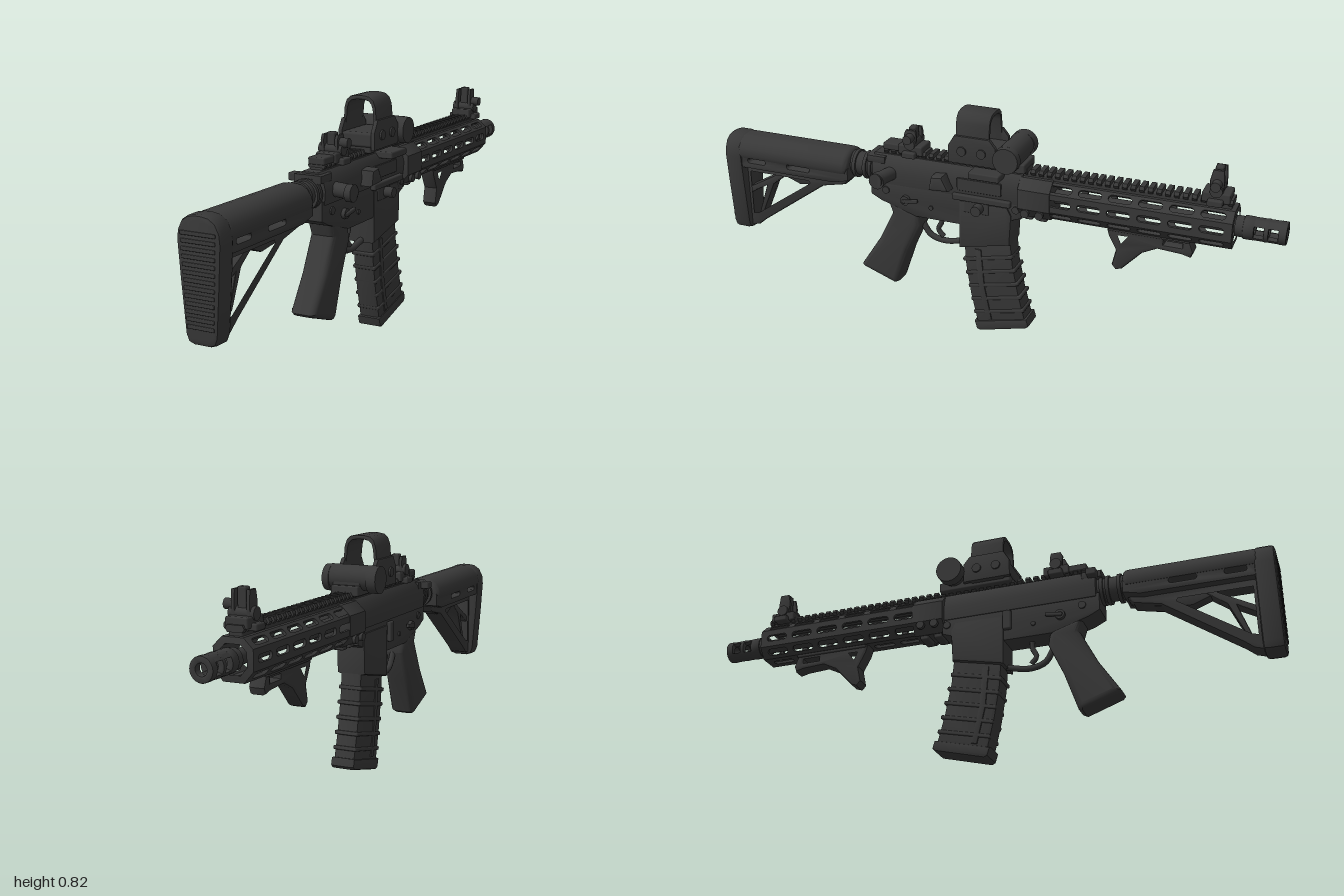
import * as THREE from 'three';
import { toCreasedNormals } from 'three/addons/utils/BufferGeometryUtils.js';
import { RoundedBoxGeometry } from 'three/addons/geometries/RoundedBoxGeometry.js';

const V2 = (p) => new THREE.Vector2(p[0], p[1]);
const V3 = (x, y, z) => new THREE.Vector3(x, y, z);

export function createModel() {
  const model = new THREE.Group();
  model.name = 'carbine';
  const body = new THREE.Group();
  body.name = 'body';
  body.position.x = -0.012;
  model.add(body);
  const black = new THREE.MeshStandardMaterial({ color: 0x383838 });
  black.name = 'matte black';

  function add(name, geo, x = 0, y = 0, z = 0) {
    const m = new THREE.Mesh(geo, black);
    m.name = name;
    m.position.set(x, y, z);
    body.add(m);
    return m;
  }
  // Centred, bevelled extrusion; holes are point lists or ready paths
  function extrude(pts, w, b, holes = []) {
    const shape = new THREE.Shape(pts.map(V2));
    holes.forEach((h) => shape.holes.push(Array.isArray(h) ? new THREE.Path(h.map(V2)) : h));
    const g = new THREE.ExtrudeGeometry(shape, {
      depth: w - 2 * b, bevelEnabled: b > 0, bevelThickness: b, bevelSize: b,
      bevelOffset: -b, bevelSegments: b > 0.015 ? 4 : 2, curveSegments: 8,
    });
    g.translate(0, 0, -(w - 2 * b) / 2);
    return toCreasedNormals(g, 0.65);
  }
  // Outline in (z, y), thickness along x
  const side = (name, pts, w, b = 0.006, holes = [], x = 0) =>
    add(name, extrude(pts, w, b, holes).rotateY(-Math.PI / 2), x);
  // Outline in (x, y), running from z0 to z1
  const front = (name, pts, z0, z1, b = 0.006, holes = []) =>
    add(name, extrude(pts, Math.abs(z1 - z0), b, holes), 0, 0, (z0 + z1) / 2);
  const mirror = (half) => [...half, ...half.slice().reverse().map(([x, y]) => [-x, y])];
  const box = (name, w, h, d, x, y, z, r = 0.005) =>
    add(name, new RoundedBoxGeometry(w, h, d, 1, Math.min(r, w / 3, h / 3, d / 3)), x, y, z);
  function cyl(name, r, len, axis, x, y, z, r2 = r, seg = 24) {
    const g = new THREE.CylinderGeometry(r, r2, len, seg);
    if (axis === 'z') g.rotateX(Math.PI / 2);
    if (axis === 'x') g.rotateZ(-Math.PI / 2);
    return add(name, g, x, y, z);
  }
  function slot(cx, cy, len, h) {
    const p = new THREE.Path(), r = h / 2, a = len / 2 - r;
    p.absarc(cx + a, cy, r, -Math.PI / 2, Math.PI / 2, false);
    p.absarc(cx - a, cy, r, Math.PI / 2, Math.PI * 1.5, false);
    p.closePath();
    return p;
  }

  // Stock: butt pad, rounded comb, slotted skirt and triangular brace
  front('buttPad', mirror([[0.025, 0.236], [0.045, 0.243], [0.054, 0.265], [0.066, 0.42], [0.073, 0.53],
    [0.07, 0.56], [0.056, 0.588], [0.035, 0.602], [0.012, 0.606]]), 0.928, 0.996, 0.012);
  for (let i = 0; i < 13; i++) box('buttRib', 0.09 + i * 0.0022, 0.012, 0.008, 0, 0.29 + i * 0.022, 0.996, 0.003);
  front('stockComb', mirror([[0.066, 0.53], [0.072, 0.545], [0.067, 0.568], [0.052, 0.59], [0.03, 0.602], [0.01, 0.605]]),
    0.5, 0.95, 0.02);
  side('stockSkirt', [[0.5, 0.505], [0.5, 0.55], [0.95, 0.55], [0.95, 0.49], [0.56, 0.49]], 0.13, 0.006,
    [slot(0.87, 0.521, 0.07, 0.016), slot(0.7, 0.521, 0.09, 0.016)]);
  side('stockBrace', [[0.51, 0.5], [0.95, 0.5], [0.95, 0.24], [0.9, 0.255], [0.87, 0.28], [0.62, 0.455], [0.53, 0.475]],
    0.07, 0.008, [[[0.925, 0.475], [0.925, 0.29], [0.895, 0.295], [0.66, 0.455], [0.67, 0.475]]]);
  side('stockInnerStrut', [[0.93, 0.40], [0.84, 0.45], [0.78, 0.485], [0.75, 0.485], [0.83, 0.425], [0.88, 0.31],
    [0.9, 0.3], [0.86, 0.415], [0.93, 0.375]], 0.05, 0.004);
  side('stockLatch', [[0.54, 0.485], [0.8, 0.485], [0.8, 0.47], [0.72, 0.44], [0.6, 0.455]], 0.045);
  cyl('bufferTube', 0.042, 0.14, 'z', 0, 0.555, 0.47);
  for (const z of [0.425, 0.445, 0.485]) cyl('tubeNut', 0.05, 0.012, 'z', 0, 0.553, z);

  // Receivers
  front('upperReceiver', mirror([[0.05, 0.515], [0.054, 0.56], [0.046, 0.598], [0.03, 0.618]]), 0.41, -0.14);
  side('lowerReceiver', [[0.42, 0.53], [0.42, 0.465], [0.38, 0.445], [0.33, 0.43], [0.25, 0.405], [0.08, 0.405],
    [0.08, 0.33], [-0.095, 0.365], [-0.1, 0.45], [-0.14, 0.465], [-0.14, 0.53]], 0.094);
  side('magazineWell', [[0.086, 0.5], [0.086, 0.318], [-0.1, 0.358], [-0.106, 0.47], [-0.09, 0.5]], 0.106, 0.01);
  side('chargingHandle', [[0.43, 0.585], [0.43, 0.612], [0.36, 0.612], [0.36, 0.585]], 0.1);
  box('chargingLatch', 0.035, 0.026, 0.035, -0.06, 0.598, 0.4);
  box('ejectionPortBolt', 0.008, 0.045, 0.16, 0.053, 0.56, 0.01);
  box('dustCover', 0.02, 0.022, 0.21, 0.056, 0.515, 0.0);
  side('caseDeflector', [[0.18, 0.535], [0.17, 0.585], [0.13, 0.59], [0.105, 0.54]], 0.06, 0.01, [], 0.065);
  const assist = cyl('forwardAssist', 0.024, 0.11, 'x', 0.07, 0.555, 0.345);
  assist.rotation.y = -0.25;
  cyl('assistButton', 0.028, 0.022, 'x', 0.114, 0.552, 0.357);
  cyl('magazineRelease', 0.018, 0.05, 'x', 0.062, 0.483, 0.01);
  box('releaseFence', 0.012, 0.05, 0.09, 0.05, 0.485, 0.02);
  for (const s of [-1, 1]) {
    cyl('takedownPin', 0.013, 0.006, 'x', s * 0.049, 0.49, 0.36);
    cyl('pivotPin', 0.013, 0.006, 'x', s * 0.049, 0.495, -0.12);
    cyl('selectorHub', 0.017, 0.016, 'x', s * 0.052, 0.465, 0.285);
    box('selectorLever', 0.012, 0.014, 0.06, s * 0.06, 0.467, 0.265).rotation.x = 0.15;
    cyl('triggerPin', 0.008, 0.006, 'x', s * 0.049, 0.45, 0.19);
  }
  box('boltCatch', 0.018, 0.07, 0.03, -0.055, 0.475, 0.1);

  // Grip, trigger and guard
  side('pistolGrip', [[0.36, 0.45], [0.345, 0.4], [0.40, 0.29], [0.475, 0.175], [0.465, 0.165], [0.345, 0.122], [0.33, 0.13],
    [0.285, 0.26], [0.235, 0.37], [0.245, 0.42]], 0.094, 0.022);
  const guard = new THREE.CatmullRomCurve3([[0.245, 0.37], [0.215, 0.325], [0.16, 0.31], [0.08, 0.325]].map(([z, y]) => V3(0, y, z)));
  add('triggerGuard', new THREE.TubeGeometry(guard, 16, 0.011, 8));
  const trig = new THREE.CatmullRomCurve3([[0.17, 0.42], [0.172, 0.38], [0.185, 0.35], [0.165, 0.325]].map(([z, y]) => V3(0, y, z)));
  add('trigger', new THREE.TubeGeometry(trig, 12, 0.009, 8));

  // Curved magazine with ribs and floor plate
  side('magazine', [[0.075, 0.36], [0.068, 0.25], [0.05, 0.14], [0.022, 0.02], [-0.158, 0.065], [-0.13, 0.17],
    [-0.108, 0.28], [-0.098, 0.38]], 0.078, 0.01);
  side('magazineFloorPlate', [[0.034, 0.035], [0.025, 0.005], [0.012, 0.0], [-0.16, 0.044], [-0.17, 0.055], [-0.162, 0.082]], 0.088, 0.008);
  for (let i = 0; i < 5; i++) {
    const t = i / 4;
    box('magazineRib', 0.086, 0.014, 0.187 + 0.004 * t, 0, 0.292 - 0.2 * t, -0.016 - 0.042 * t).rotation.x = 0.22;
  }
  for (const s of [-1, 1]) side('magazineSpine', [[0.03, 0.32], [0.018, 0.18], [-0.012, 0.05], [-0.032, 0.055], [-0.005, 0.18], [0.008, 0.32]],
    0.01, 0.003, [], s * 0.038);

  // Handguard: eight plates around the barrel, slotted on sides, corners and bottom
  const cy = 0.548;
  const oct = [[-0.035, 0.062], [0.035, 0.062], [0.066, 0.032], [0.066, -0.032], [0.035, -0.068], [-0.035, -0.068],
    [-0.066, -0.032], [-0.066, 0.032]];
  const z0 = -0.83, z1 = -0.22;
  oct.forEach((a, i) => {
    const b = oct[(i + 1) % 8];
    const t = V3(b[0] - a[0], b[1] - a[1], 0), h = t.length() / 2;
    t.normalize();
    const holes = [];
    if (i > 0) for (let k = 0; k < 6; k++) holes.push(slot(-0.775 + k * 0.1, 0, 0.078, 0.024));
    const g = extrude([[z0, -h], [z1, -h], [z1, h], [z0, h]], 0.01, 0, holes);
    g.translate(0, 0, -0.005);
    g.applyMatrix4(new THREE.Matrix4().makeBasis(V3(0, 0, 1), t, V3(-t.y, t.x, 0)));
    add('handguardPanel', g, (a[0] + b[0]) / 2, cy + (a[1] + b[1]) / 2, 0);
  });
  const ring = (k) => oct.map(([x, y]) => [x * k, cy + y * k]);
  front('handguardClamp', ring(1.06), -0.13, -0.245, 0.006);
  front('handguardEndCap', ring(1.0), -0.825, -0.84, 0.003, [ring(0.72)]);
  for (const s of [-1, 1]) for (const z of [-0.16, -0.21]) cyl('clampScrew', 0.014, 0.012, 'x', s * 0.07, 0.5, z);
  for (const z of [-0.16, -0.21]) box('clampLug', 0.07, 0.02, 0.03, 0, 0.472, z);

  // Top rail with cross teeth
  box('railBase', 0.046, 0.024, 1.2, 0, 0.614, -0.225);
  for (let i = 0; i < 43; i++) {
    front('railTooth', [[-0.024, 0.62], [0.024, 0.62], [0.031, 0.63], [0.025, 0.641], [-0.025, 0.641], [-0.031, 0.63]],
      0.372 - i * 0.0282, 0.356 - i * 0.0282, 0);
  }

  // Barrel and ported muzzle brake
  cyl('barrel', 0.024, 0.79, 'z', 0, cy, -0.5);
  cyl('muzzleCollar', 0.034, 0.03, 'z', 0, cy, -0.855);
  const arc = (r, a0, a1, n = 16) => Array.from({ length: n + 1 }, (_, i) => {
    const a = a0 + (a1 - a0) * i / n;
    return [r * Math.cos(a), cy + r * Math.sin(a)];
  });
  const bore = arc(0.018, 0, Math.PI * 2, 24).slice(0, 24);
  for (const [a, b] of [[-0.865, -0.9], [-0.93, -0.945], [-0.975, -1.0]]) {
    front('muzzleRing', arc(0.038, 0, Math.PI * 2, 24).slice(0, 24), a, b, 0.003, [bore]);
  }
  for (const s of [1, -1]) {
    front('muzzleBridge', [...arc(0.037, s * 0.55, s * (Math.PI - 0.55)), ...arc(0.021, s * (Math.PI - 0.7), s * 0.7)], -0.89, -0.98, 0);
  }

  // Angled foregrip
  side('foregrip', [[-0.425, 0.486], [-0.435, 0.45], [-0.462, 0.40], [-0.45, 0.345], [-0.465, 0.328], [-0.485, 0.335],
    [-0.55, 0.405], [-0.6, 0.43], [-0.68, 0.425], [-0.71, 0.418], [-0.718, 0.44], [-0.7, 0.486]], 0.056, 0.01,
  [[[-0.455, 0.465], [-0.478, 0.415], [-0.515, 0.465]], [[-0.62, 0.462], [-0.68, 0.462], [-0.68, 0.45], [-0.62, 0.45]]]);
  box('foregripMount', 0.066, 0.014, 0.27, 0, 0.478, -0.57);

  // Folding iron sights
  function ironSight(prefix, z, len, top) {
    box(prefix + 'Base', 0.074, 0.034, len, 0, 0.645, z);
    box(prefix + 'Clamp', 0.11, 0.022, len * 0.55, 0, 0.632, z);
    cyl(prefix + 'Hinge', 0.02, 0.084, 'x', 0, 0.668, z);
    box(prefix + 'Post', 0.03, top - 0.665, 0.026, 0, (top + 0.655) / 2, z);
    for (const s of [-1, 1]) {
      side(prefix + 'Wing', [[z - 0.02, 0.65], [z + 0.02, 0.65], [z + 0.024, 0.7], [z + 0.016, top - 0.012], [z - 0.018, top - 0.012],
        [z - 0.022, 0.7]], 0.012, 0.003, [], s * 0.025);
    }
    cyl(prefix + 'Knob', 0.016, 0.03, 'x', 0.045, 0.69, z);
  }
  ironSight('rearSight', 0.27, 0.09, 0.728);
  ironSight('frontSight', -0.775, 0.09, 0.748);
  box('rearSightFoot', 0.06, 0.024, 0.15, 0, 0.645, 0.3);

  // Holographic sight: mount, open hood, guards and transverse battery tube
  box('opticMount', 0.1, 0.034, 0.26, 0, 0.645, -0.02);
  box('opticBody', 0.118, 0.05, 0.17, 0, 0.672, 0.03, 0.01);
  box('mountLever', 0.07, 0.024, 0.11, 0.057, 0.612, -0.02);
  const outer = [[0.065, 0.64], [0.063, 0.72], [0.058, 0.778], [0.05, 0.8], [0.036, 0.812], [0.015, 0.816]];
  const inner = [[0.053, 0.652], [0.051, 0.72], [0.046, 0.772], [0.041, 0.788], [0.03, 0.798], [0.012, 0.802]];
  front('opticHood', mirror(outer), 0.09, -0.03, 0.004, [mirror(inner)]);
  for (const s of [-1, 1]) {
    side('opticGuard', [[0.115, 0.64], [0.115, 0.7], [0.092, 0.738], [-0.032, 0.738], [-0.055, 0.71], [-0.055, 0.64]],
      0.016, 0.004, [], s * 0.061);
    for (const z of [0.065, -0.005]) cyl('opticScrew', 0.016, 0.012, 'x', s * 0.069, 0.686, z);
  }
  cyl('batteryTube', 0.042, 0.16, 'x', -0.01, 0.684, -0.095);
  cyl('batteryCap', 0.046, 0.034, 'x', -0.089, 0.68, -0.095);
  cyl('batteryEnd', 0.044, 0.024, 'x', 0.076, 0.68, -0.095, 0.046);
  box('batteryCradle', 0.1, 0.04, 0.08, 0, 0.66, -0.095);
  return model;
}
